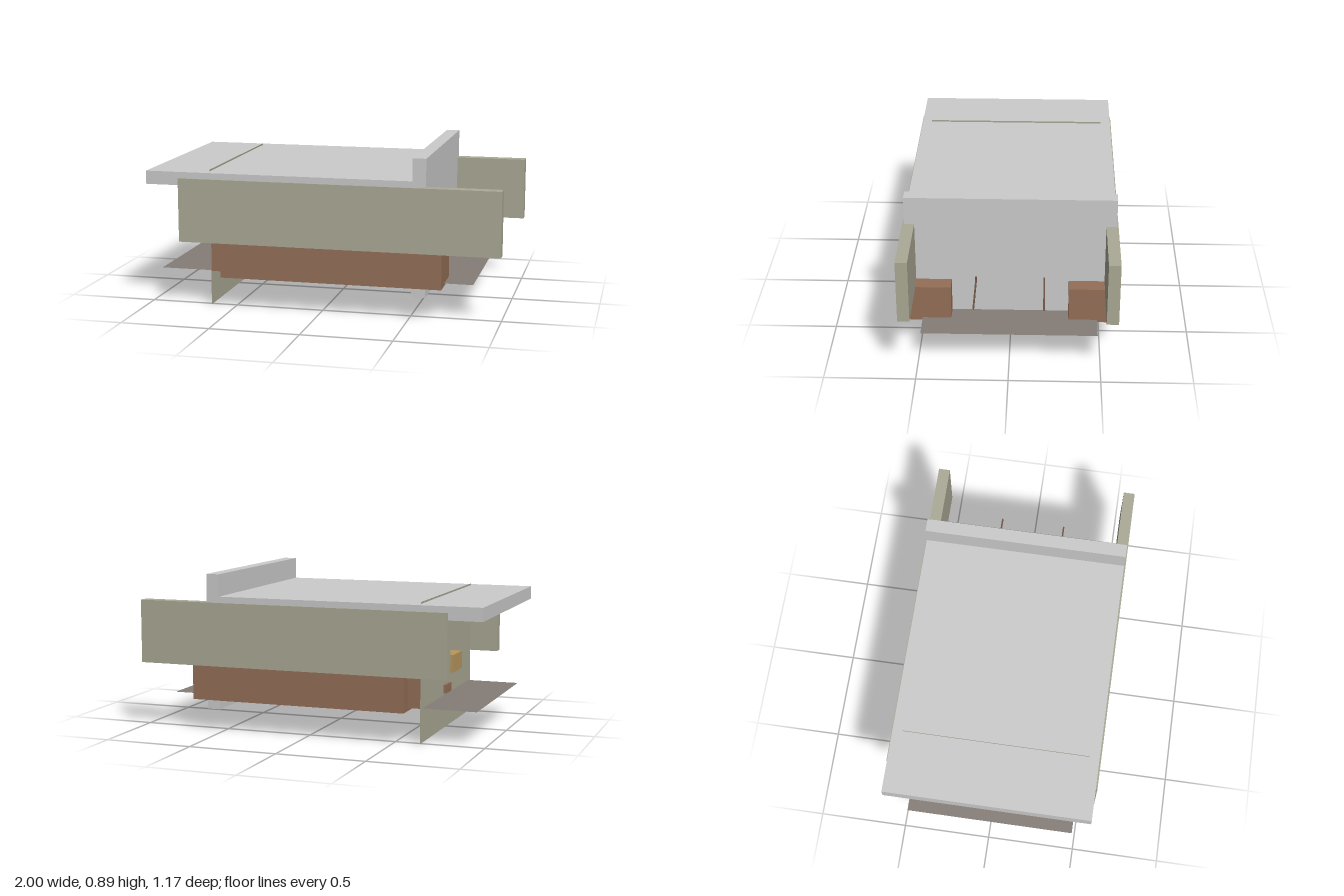
import * as THREE from 'three';

const material = (color, extra = {}) => new THREE.MeshStandardMaterial({ color, ...extra });
const grey = material(0xcccccc);
const olive = material(0xaba995);
const oliveSheet = material(0xaba995, { side: THREE.DoubleSide });
const sheet = material(0x857e77, { side: THREE.DoubleSide });
const brown = material(0x946f57);
const tan = material(0xb8975d);
const dark = material(0x6b5244);

export function createModel() {
  const group = new THREE.Group();

  // Box given by its extents along each axis
  const box = (name, mat, [x0, x1], [y0, y1], [z0, z1]) => {
    const mesh = new THREE.Mesh(new THREE.BoxGeometry(x1 - x0, y1 - y0, z1 - z0), mat);
    mesh.position.set((x0 + x1) / 2, (y0 + y1) / 2, (z0 + z1) / 2);
    mesh.name = name;
    group.add(mesh);
  };

  // Box repeated on both sides of the centre line
  const pair = (name, mat, x, y, [z0, z1]) => {
    box(name + 'Left', mat, x, y, [z0, z1]);
    box(name + 'Right', mat, x, y, [-z1, -z0]);
  };

  // Large boards
  box('topSlab', grey, [-1, 0.515], [0.69, 0.765], [-0.577, 0.575]);
  box('uprightBoard', grey, [0.515, 0.59], [0.125, 0.89], [-0.577, 0.575]);
  pair('sidePlank', olive, [-0.81, 1], [0.37, 0.73], [0.52, 0.585]);

  // Lower beams and the crosspiece joining them
  pair('lowerBeam', brown, [-0.57, 0.68], [0.175, 0.385], [0.323, 0.58]);
  box('crosspiece', brown, [-0.643, -0.575], [0.195, 0.385], [-0.519, 0.519]);

  // Thin end panel, passing up through the slab
  const endPanel = new THREE.Mesh(new THREE.PlaneGeometry(1.04, 0.775), oliveSheet);
  endPanel.rotation.y = -Math.PI / 2;
  endPanel.position.set(-0.645, 0.3875, 0);
  endPanel.name = 'endPanel';
  group.add(endPanel);

  // Thin floor sheet
  const floorSheet = new THREE.Mesh(new THREE.PlaneGeometry(1.79, 0.965), sheet);
  floorSheet.rotation.x = -Math.PI / 2;
  floorSheet.position.set(-0.055, 0.19, 0);
  floorSheet.name = 'floorSheet';
  group.add(floorSheet);

  // Small blocks at the end panel
  box('post', grey, [-0.643, -0.58], [0.08, 0.37], [-0.062, 0.062]);
  box('handleBlock', tan, [-0.71, -0.645], [0.33, 0.43], [-0.1, 0.09]);
  box('latchBlock', brown, [-0.66, -0.645], [0.2, 0.25], [-0.06, 0.05]);

  // Tabs holding the floor sheet from below
  for (const [x, half] of [[-0.54, 0.023], [-0.355, 0.012], [-0.02, 0.012], [0.312, 0.012]]) {
    pair('sheetTab', brown, [x - half, x + half], [0.165, 0.19], [0.265, 0.325]);
  }

  // Rods through the upright board, each with a short pin above
  pair('rod', dark, [-0.57, 0.89], [0.38, 0.389], [0.184, 0.193]);
  pair('pin', dark, [0.58, 0.61], [0.397, 0.405], [0.184, 0.193]);

  return group;
}
